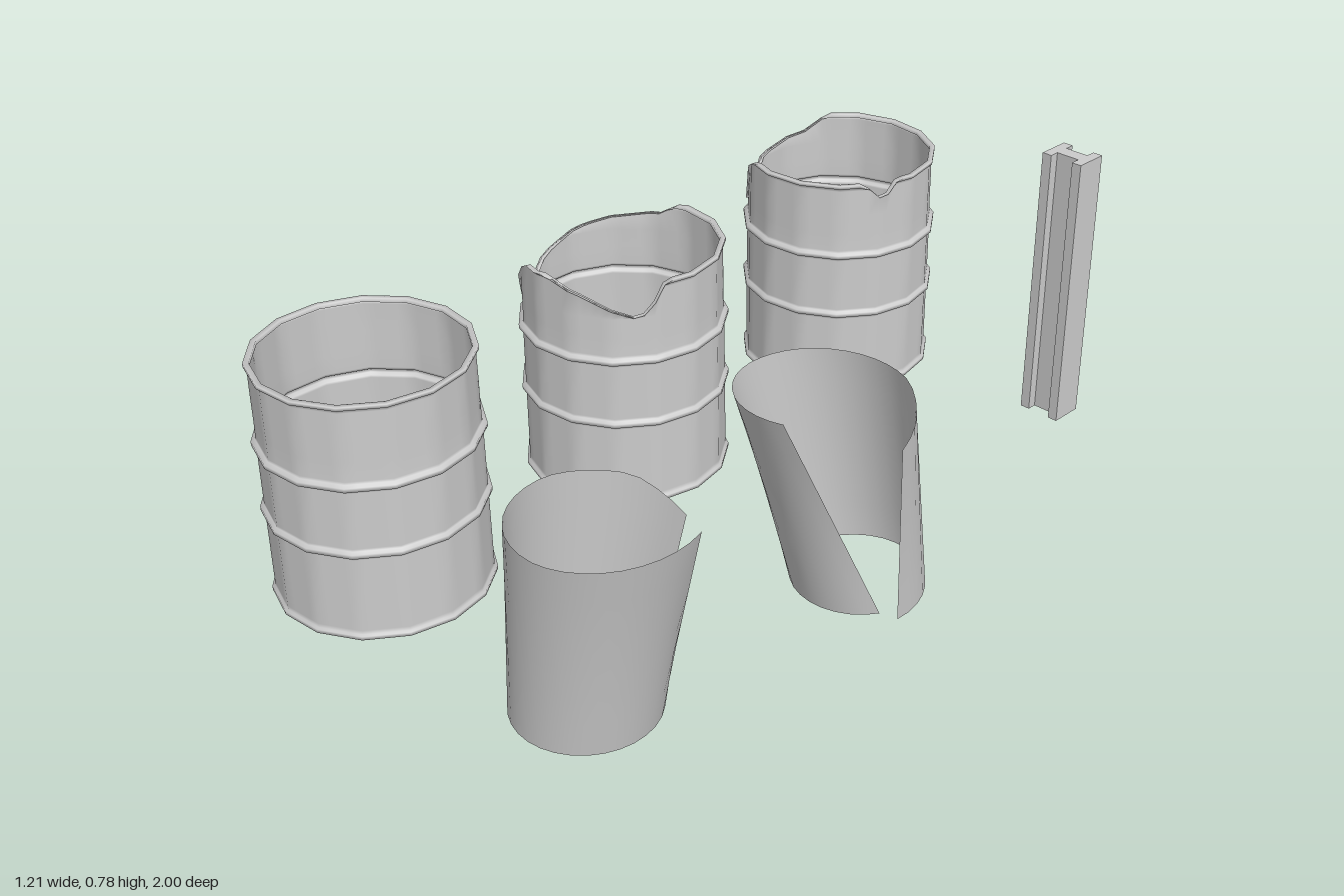
import * as THREE from 'three';
import { mergeVertices } from 'three/addons/utils/BufferGeometryUtils.js';

const RAD = Math.PI / 180;
const material = new THREE.MeshStandardMaterial({ color: 0xcccccc, side: THREE.DoubleSide });

// Grid surface from a rule point(u, v), u around, v upwards
function loft(cols, rows, point) {
  const pos = [], index = [];
  for (let j = 0; j <= rows; j++)
    for (let i = 0; i <= cols; i++) pos.push(...point(i, j));
  for (let j = 0; j < rows; j++)
    for (let i = 0; i < cols; i++) {
      const a = j * (cols + 1) + i, b = a + cols + 1;
      index.push(a, a + 1, b + 1, a, b + 1, b);
    }
  let g = new THREE.BufferGeometry();
  g.setAttribute('position', new THREE.Float32BufferAttribute(pos, 3));
  g.setIndex(index);
  g = mergeVertices(g, 1e-5);
  g.computeVertexNormals();
  return g;
}

// Piecewise linear lookup in sorted [key, value] pairs
function lookup(pairs, t) {
  if (t <= pairs[0][0]) return pairs[0][1];
  for (let i = 1; i < pairs.length; i++) {
    const [k0, v0] = pairs[i - 1], [k1, v1] = pairs[i];
    if (t <= k1) return v0 + (v1 - v0) * (t - k0) / (k1 - k0);
  }
  return pairs[pairs.length - 1][1];
}

function add(parent, name, geometry) {
  const mesh = new THREE.Mesh(geometry, material);
  mesh.name = name;
  parent.add(mesh);
  return mesh;
}

// Drum wall profile [radius, height]: bottom lip, two ribs, rolled top rim
const PROFILE = [
  [0.243, 0.06], [0.25, 0.06], [0.25, 0.069], [0.243, 0.07], [0.243, 0.08],
  [0.242, 0.262], [0.242, 0.268], [0.251, 0.271], [0.251, 0.281], [0.242, 0.284], [0.242, 0.29],
  [0.241, 0.427], [0.241, 0.433], [0.251, 0.436], [0.251, 0.446], [0.241, 0.449], [0.24, 0.455],
  [0.239, 0.5], [0.239, 0.55], [0.238, 0.617], [0.238, 0.624],
  [0.245, 0.626], [0.245, 0.634], [0.232, 0.634], [0.232, 0.624]
];

// Fifteen-sided drum; tear gives the height of the torn edge by angle
function drum(name, z, tear) {
  const group = new THREE.Group();
  group.name = name;
  group.position.set(-0.358, 0, z);
  add(group, 'drumWall', loft(60, PROFILE.length - 1, (i, j) => {
    const a = (i % 60) * 6, [r, y] = PROFILE[j];
    const rel = ((a - 90 + 360) % 24) - 12;
    const k = r * Math.cos(12 * RAD) / Math.cos(rel * RAD);
    return [k * Math.sin(a * RAD), Math.min(y, lookup(tear, a)), k * Math.cos(a * RAD)];
  }));
  const floor = add(group, 'drumFloor', new THREE.CircleGeometry(0.243, 15));
  floor.rotation.x = -Math.PI / 2;
  floor.position.y = 0.066;
  return group;
}

// Curled sheet stretched between a bottom arc and a wider, shifted top arc
function curledSheet(name, bottom, top) {
  const cols = 28;
  const at = (arc, t) => {
    const deg = arc.from + (arc.to - arc.from) * t;
    return new THREE.Vector3(
      arc.x + arc.r * Math.sin(deg * RAD), lookup(arc.heights, t), arc.z + arc.r * Math.cos(deg * RAD));
  };
  const mesh = new THREE.Mesh(loft(cols, 6, (i, j) =>
    at(bottom, i / cols).lerp(at(top, i / cols), j / 6).toArray()), material);
  mesh.name = name;
  return mesh;
}

export function createModel() {
  const model = new THREE.Group();
  model.name = 'scrapDrums';

  // Drums: one whole, two with torn rims
  model.add(drum('wholeDrum', 0.747, [[0, 1]]));
  model.add(drum('tornMiddleDrum', 0.013, [
    [0, 0.63], [20, 0.61], [55, 0.55], [62, 0.56], [74, 0.64], [188, 0.64], [204, 0.6],
    [250, 0.575], [275, 0.54], [305, 0.46], [322, 0.53], [338, 0.62], [360, 0.63]
  ]));
  model.add(drum('tornBackDrum', -0.75, [
    [0, 0.64], [55, 0.64], [69, 0.585], [80, 0.64], [225, 0.64], [246, 0.59],
    [280, 0.56], [305, 0.47], [325, 0.6], [340, 0.64]
  ]));

  // Curled sheets
  model.add(curledSheet('middleCurledSheet',
    { x: 0.37, z: -0.025, r: 0.155, from: -283, to: 60, heights: [[0, 0], [0.3, 0.03]] },
    { x: 0.372, z: 0.105, r: 0.194, from: -261, to: 17, heights: [[0, 0.49], [0.2, 0.55], [0.6, 0.565], [1, 0.587]] }));
  model.add(curledSheet('frontCurledSheet',
    { x: 0.327, z: 0.752, r: 0.16, from: -185, to: 143, heights: [[0, 0.085]] },
    { x: 0.408, z: 0.742, r: 0.2, from: -180, to: 106, heights: [[0, 0.48], [0.12, 0.54], [0.3, 0.565], [0.65, 0.575], [1, 0.605]] }));

  // Steel beam with an H section
  const w = 0.055, d = 0.042, fi = 0.03, web = 0.018;
  const section = new THREE.Shape([
    [-w, -d], [-fi, -d], [-fi, -web], [fi, -web], [fi, -d], [w, -d],
    [w, d], [fi, d], [fi, web], [-fi, web], [-fi, d], [-w, d]
  ].map(([x, y]) => new THREE.Vector2(x, y)));
  const beam = add(model, 'steelBeam',
    new THREE.ExtrudeGeometry(section, { depth: 0.695, bevelEnabled: false }));
  beam.rotation.x = -Math.PI / 2;
  beam.position.set(0.29, 0.09, -0.842);

  return model;
}
